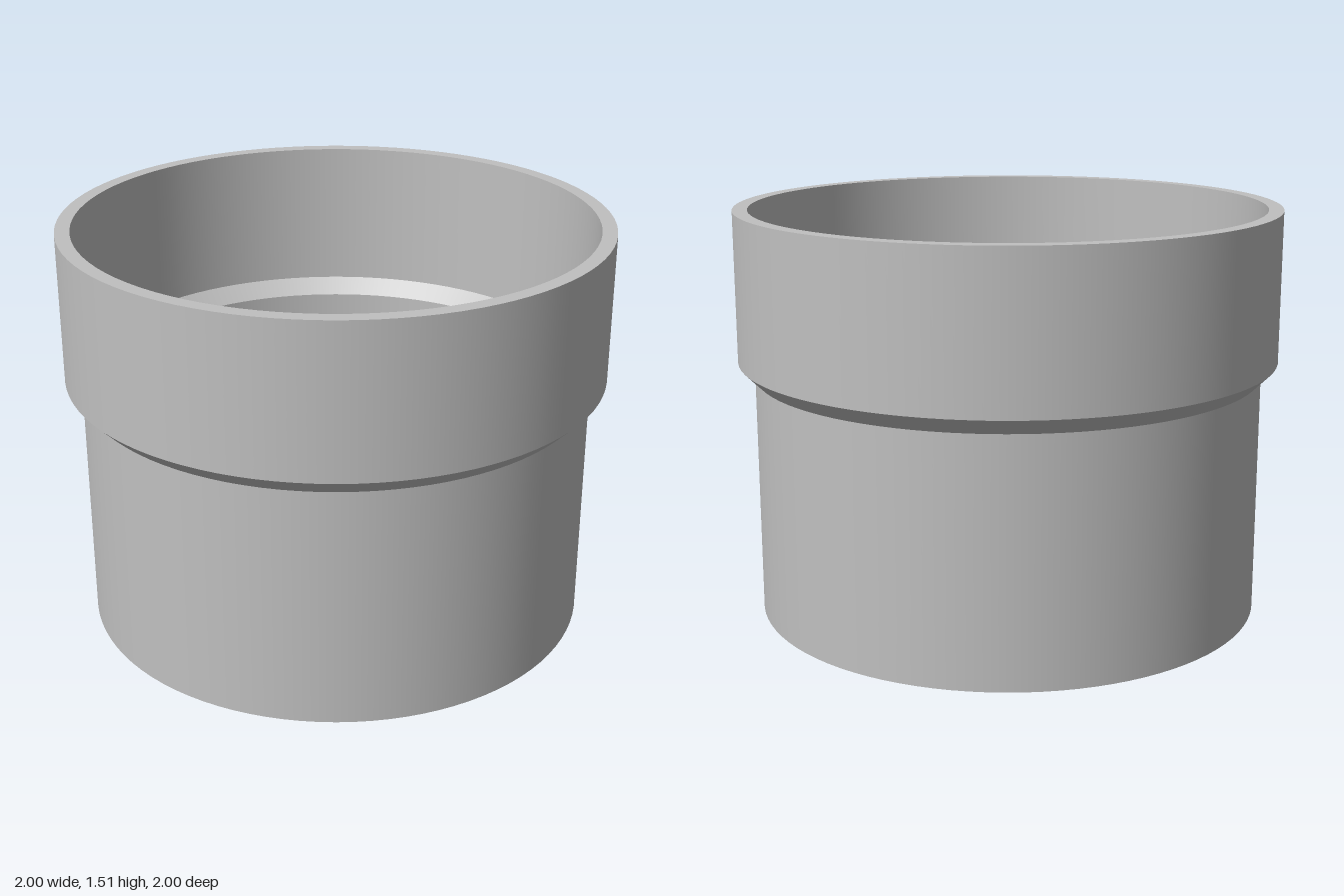
import * as THREE from 'three';
import { mergeGeometries } from 'three/addons/utils/BufferGeometryUtils.js';

const SEGMENTS = 96;

// Revolve each pair of neighbouring points separately, so bands are smooth around but meet at sharp edges
function revolve(points) {
  const bands = [];
  for (let i = 0; i < points.length - 1; i++) {
    const pair = [points[i], points[i + 1]].map(([r, y]) => new THREE.Vector2(r, y));
    bands.push(new THREE.LatheGeometry(pair, SEGMENTS));
  }
  return mergeGeometries(bands);
}

export function createModel() {
  const model = new THREE.Group();
  model.name = 'pipeCoupling';

  const grey = new THREE.MeshStandardMaterial({ color: 0xc0c0c0 });
  grey.name = 'grey';

  const parts = {
    // Narrow lower sleeve: inner wall, bottom rim, outer wall
    lowerSleeve: [[0.887, 0.89], [0.887, 0], [0.94, 0], [0.94, 0.892]],
    // Sloped shoulder outside and the matching seat inside
    outerShoulder: [[0.94, 0.892], [1, 0.952]],
    innerSeat: [[0.946, 0.948], [0.887, 0.89]],
    // Wide upper socket: outer wall, top rim, inner wall
    upperSocket: [[1, 0.952], [1, 1.506], [0.946, 1.506], [0.946, 0.948]],
  };

  for (const [name, profile] of Object.entries(parts)) {
    const mesh = new THREE.Mesh(revolve(profile), grey);
    mesh.name = name;
    model.add(mesh);
  }
  return model;
}
